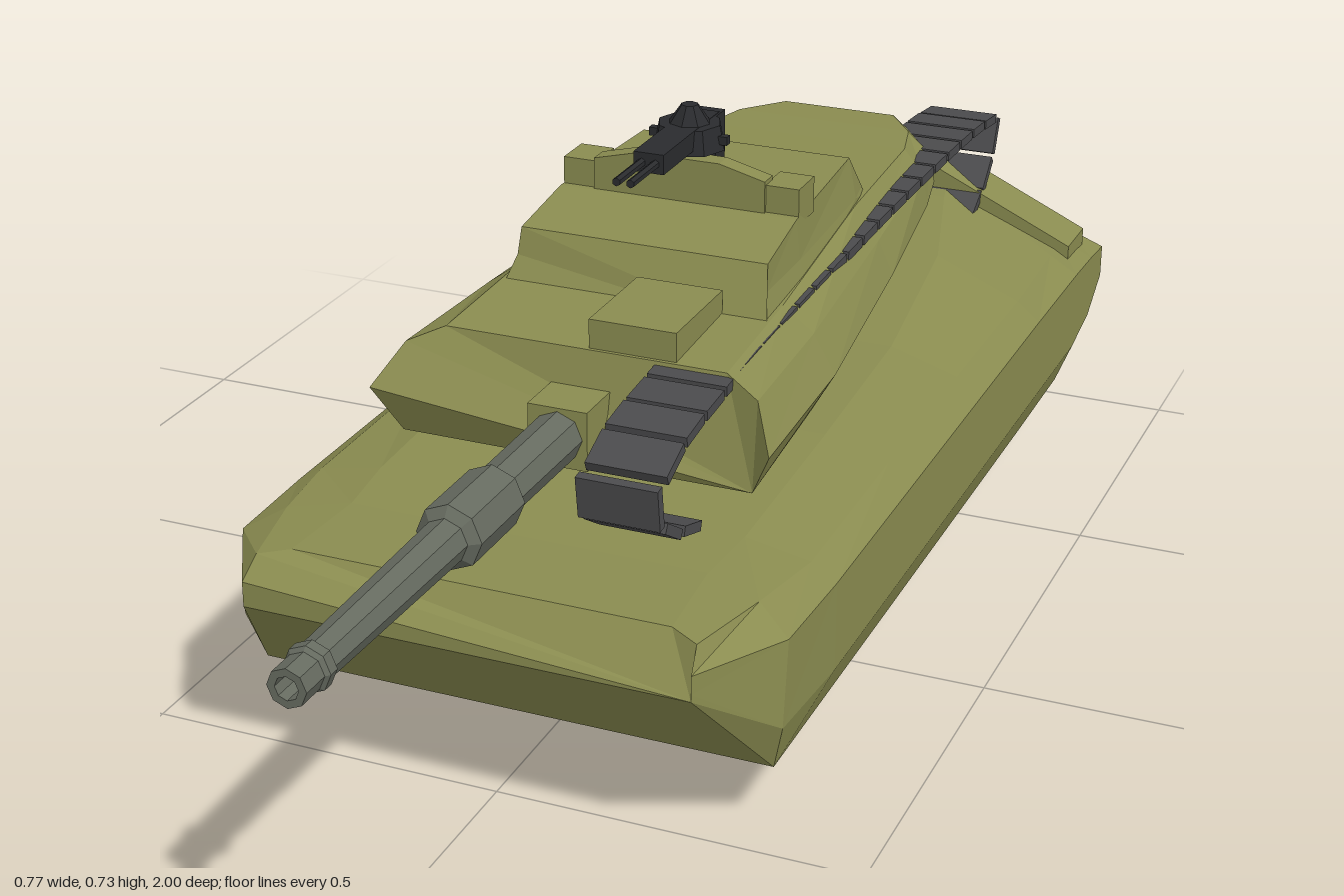
import * as THREE from 'three';

const mat = (name, color) => Object.assign(new THREE.MeshStandardMaterial({ color }), { name });

// Facets a built-in geometry
function flat(geo) {
  const g = geo.index ? geo.toNonIndexed() : geo;
  g.computeVertexNormals();
  return g;
}

// Skin over mirrored cross-sections, front to back; each half-section lists [x, y, z] from bottom to top
function loft(halves) {
  const rings = halves.map(h => [...h, ...[...h].reverse().map(([x, y, z]) => [-x, y, z])]);
  const n = rings[0].length, pos = [];
  const tri = (a, b, c) => pos.push(...a, ...b, ...c);
  for (let i = 0; i < rings.length - 1; i++) {
    for (let j = 0; j < n; j++) {
      const k = (j + 1) % n;
      const a = rings[i][j], b = rings[i][k], c = rings[i + 1][k], d = rings[i + 1][j];
      tri(a, d, c);
      tri(a, c, b);
    }
  }
  const last = rings[rings.length - 1];
  for (let j = 1; j < n - 1; j++) {
    tri(rings[0][0], rings[0][j], rings[0][j + 1]);
    tri(last[0], last[j + 1], last[j]);
  }
  const g = new THREE.BufferGeometry();
  g.setAttribute('position', new THREE.Float32BufferAttribute(pos, 3));
  g.computeVertexNormals();
  return g;
}

// Half-section lying at one z
const at = (z, ...pts) => pts.map(([x, y]) => [x, y, z]);

export function createModel() {
  const model = new THREE.Group();
  const olive = mat('olive armour', 0x8a8c50);
  const steel = mat('gun steel', 0x666b60);
  const rubber = mat('track grey', 0x4b4b4d);
  const blue = mat('wheel blue', 0x618799);
  const black = mat('weapon black', 0x2a2b2e);

  const add = (name, geo, material, x = 0, y = 0, z = 0) => {
    const m = new THREE.Mesh(geo, material);
    m.name = name;
    m.position.set(x, y, z);
    model.add(m);
    return m;
  };
  const box = (name, material, x0, x1, y0, y1, z0, z1) =>
    add(name, new THREE.BoxGeometry(x1 - x0, y1 - y0, z1 - z0), material, (x0 + x1) / 2, (y0 + y1) / 2, (z0 + z1) / 2);

  // Hull
  add('hull', loft([
    [[0.305, 0.25, 0.59], [0.305, 0.26, 0.59], [0.305, 0.285, 0.59], [0.30, 0.312, 0.56], [0.26, 0.317, 0.54]],
    [[0.36, 0.095, 0.45], [0.378, 0.165, 0.47], [0.38, 0.285, 0.46], [0.33, 0.312, 0.43], [0.25, 0.32, 0.40]],
    at(0.30, [0.36, 0.095], [0.385, 0.16], [0.385, 0.285], [0.35, 0.308], [0.26, 0.325]),
    at(0.0, [0.36, 0.095], [0.385, 0.16], [0.385, 0.285], [0.35, 0.313], [0.26, 0.34]),
    at(-0.31, [0.36, 0.095], [0.385, 0.16], [0.385, 0.285], [0.35, 0.315], [0.25, 0.346]),
    at(-0.62, [0.36, 0.095], [0.385, 0.16], [0.385, 0.285], [0.35, 0.315], [0.22, 0.37]),
    at(-0.84, [0.36, 0.097], [0.385, 0.16], [0.385, 0.283], [0.34, 0.31], [0.16, 0.383]),
    at(-0.93, [0.36, 0.14], [0.385, 0.18], [0.385, 0.28], [0.33, 0.305], [0.14, 0.384]),
    at(-1.0, [0.36, 0.22], [0.385, 0.225], [0.385, 0.275], [0.32, 0.30], [0.12, 0.385]),
  ]), olive);

  for (const s of [1, -1]) {
    // Sloping boxes on the rear deck
    const wedge = new THREE.Shape([[0.03, 0.32], [0.36, 0.28], [0.36, 0.315], [0.11, 0.43], [0.03, 0.43]]
      .map(([x, y]) => new THREE.Vector2(s * x, y)));
    add('rearDeckBox', new THREE.ExtrudeGeometry(wedge, { depth: 0.09, bevelEnabled: false }), olive, 0, 0, -0.965);

    // Track plate behind the road wheels
    const side = new THREE.Shape([[0.43, 0.12], [0.41, 0.09], [0.27, 0], [-0.73, 0], [-0.87, 0.09], [-0.87, 0.125]]
      .map(([z, y]) => new THREE.Vector2(-z, y)));
    const track = add('track', new THREE.ExtrudeGeometry(side, { depth: 0.018, bevelEnabled: false }), rubber,
      s > 0 ? 0.232 : -0.25);
    track.rotation.y = Math.PI / 2;

    // Road wheels, with a raised end wheel front and back
    for (let i = -1; i <= 8; i++) {
      const end = i < 0 || i > 7;
      const z = i < 0 ? 0.37 : i > 7 ? -0.83 : 0.25 - 0.14 * i;
      const y = end ? 0.118 : 0.066, r = end ? 0.045 : 0.06;
      const wheel = add('roadWheel', flat(new THREE.CylinderGeometry(r, r, 0.05, 12)), blue, s * 0.275, y, z);
      wheel.rotation.z = Math.PI / 2;
      const hub = add('wheelHub', flat(new THREE.CylinderGeometry(r * 0.75, r * 0.82, 0.006, 12)), blue, s * 0.302, y, z);
      hub.rotation.z = -s * Math.PI / 2;
    }
  }

  // Turret with its ring and raised roof
  add('turretRing', flat(new THREE.CylinderGeometry(0.07, 0.085, 0.06, 12)), olive, 0, 0.355, -0.16);
  add('turret', loft([
    [[0.25, 0.362, 0.25], [0.283, 0.43, 0.28], [0.25, 0.485, 0.235], [0.20, 0.507, 0.215]],
    at(0.0, [0.235, 0.365], [0.272, 0.43], [0.24, 0.485], [0.195, 0.518]),
    at(-0.35, [0.19, 0.38], [0.235, 0.44], [0.212, 0.49], [0.175, 0.538]),
    at(-0.62, [0.16, 0.395], [0.20, 0.45], [0.19, 0.50], [0.16, 0.535]),
    at(-0.70, [0.14, 0.44], [0.185, 0.46], [0.175, 0.505], [0.14, 0.535]),
    [[0.09, 0.443, -0.775], [0.11, 0.46, -0.785], [0.11, 0.51, -0.785], [0.09, 0.532, -0.775]],
  ]), olive);
  add('turretRoof', loft([
    [[0.195, 0.50, 0.06], [0.182, 0.545, 0.03], [0.18, 0.582, 0.02]],
    at(-0.1, [0.195, 0.50], [0.182, 0.545], [0.176, 0.603]),
    at(-0.36, [0.175, 0.50], [0.172, 0.545], [0.16, 0.605]),
    at(-0.42, [0.165, 0.50], [0.165, 0.53], [0.16, 0.542]),
  ]), olive);
  box('roofHatch', olive, 0.005, 0.128, 0.50, 0.548, 0.05, 0.21);
  for (const s of [1, -1]) box('sightBox', olive, s * 0.15 - 0.025, s * 0.15 + 0.025, 0.59, 0.642, -0.17, -0.11);

  // Low shield ahead of the roof gun
  const shield = new THREE.Shape([[-0.127, 0.59], [0.127, 0.59], [0.127, 0.648], [0.06, 0.665], [-0.06, 0.665], [-0.127, 0.648]]
    .map(p => new THREE.Vector2(...p)));
  add('gunShield', new THREE.ExtrudeGeometry(shield, { depth: 0.03, bevelEnabled: false }), olive, 0, 0, -0.135);

  // Main gun
  const profile = [[0, 0.2], [0.036, 0.2], [0.034, 0.48], [0.044, 0.49], [0.044, 0.61], [0.03, 0.62], [0.025, 0.935],
    [0.03, 0.94], [0.03, 0.955], [0.025, 0.96], [0.025, 1.0], [0.015, 1.0], [0.015, 0.96], [0, 0.96]]
    .map(p => new THREE.Vector2(...p));
  const gun = add('mainGun', flat(new THREE.LatheGeometry(profile, 8)), steel, 0, 0.418, 0);
  gun.rotation.x = Math.PI / 2;
  box('mantlet', olive, -0.042, 0.042, 0.375, 0.458, 0.2, 0.30);

  // Roof machine gun
  add('gunHousing', flat(new THREE.CylinderGeometry(0.045, 0.052, 0.035, 8)), black, 0, 0.688, -0.145);
  add('gunDome', flat(new THREE.CylinderGeometry(0.012, 0.03, 0.026, 8)), black, 0, 0.718, -0.145);
  box('gunPivots', black, -0.058, 0.058, 0.68, 0.692, -0.15, -0.138);
  box('gunReceiver', black, -0.022, 0.022, 0.678, 0.706, -0.20, 0.0);
  box('gunArm', black, -0.025, 0.025, 0.61, 0.705, -0.215, -0.18);
  box('gunFoot', black, -0.04, 0.04, 0.6, 0.618, -0.235, -0.17);
  for (const x of [-0.01, 0.01]) {
    const barrel = add('gunBarrel', flat(new THREE.CylinderGeometry(0.006, 0.006, 0.1, 6)), black, x, 0.692, 0.035);
    barrel.rotation.x = Math.PI / 2;
  }

  // Spare track links draped over the left side of the turret
  const path = new THREE.CatmullRomCurve3([[0.32, 0.34], [0.42, 0.38], [0.455, 0.43], [0.39, 0.472], [0.25, 0.492],
    [0, 0.505], [-0.55, 0.51], [-0.9, 0.495], [-0.955, 0.48], [-0.92, 0.41], [-0.83, 0.35]]
    .map(([z, y]) => new THREE.Vector3(0.155, y, z)));
  const links = 27, step = path.getLength() / links;
  for (let i = 0; i < links; i++) {
    const u = (i + 0.5) / links, p = path.getPointAt(u), t = path.getTangentAt(u);
    const link = add('spareTrackLink', new THREE.BoxGeometry(0.11, 0.014, step * 0.88), rubber, p.x, p.y, p.z);
    link.rotation.x = Math.atan2(-t.y, t.z);
  }
  return model;
}
